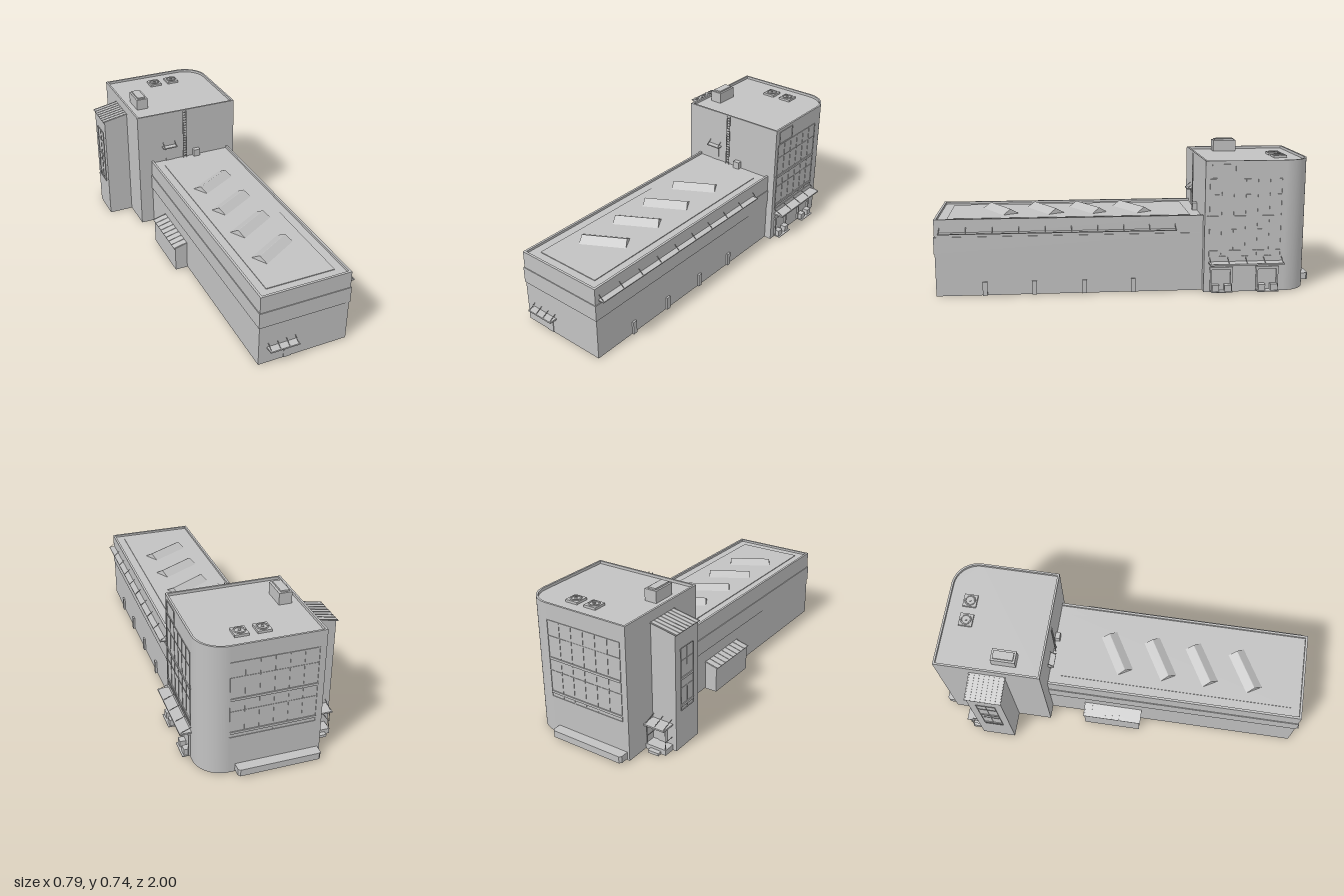
import * as THREE from 'three';

const grey = new THREE.MeshStandardMaterial({ color: 0xc2c2c2, side: THREE.DoubleSide });
grey.name = 'concrete grey';

function add(parent, name, geometry, x = 0, y = 0, z = 0) {
  const mesh = new THREE.Mesh(geometry, grey);
  mesh.name = name;
  mesh.position.set(x, y, z);
  parent.add(mesh);
  return mesh;
}

// Box given by its limits
function block(parent, name, x0, x1, y0, y1, z0, z1) {
  return add(parent, name, new THREE.BoxGeometry(x1 - x0, y1 - y0, z1 - z0),
    (x0 + x1) / 2, (y0 + y1) / 2, (z0 + z1) / 2);
}

// Thin rod between two points
function rod(parent, name, a, b, r = 0.0015) {
  const p = new THREE.Vector3(...a), q = new THREE.Vector3(...b);
  const mesh = add(parent, name, new THREE.CylinderGeometry(r, r, p.distanceTo(q), 5));
  mesh.position.copy(p).lerp(q, 0.5);
  mesh.quaternion.setFromUnitVectors(new THREE.Vector3(0, 1, 0), q.sub(p).normalize());
}

function group(parent, name, x, y, z, turn = 0) {
  const g = new THREE.Group();
  g.name = name;
  g.position.set(x, y, z);
  g.rotation.y = turn;
  parent.add(g);
  return g;
}

// Plan outline, with the back corner on the model's left rounded if r > 0
function plan(x0, x1, z0, z1, r = 0) {
  const s = new THREE.Shape();
  s.moveTo(x0, -z1);
  s.lineTo(x1, -z1);
  if (r) {
    s.lineTo(x1, -z0 - r);
    s.absarc(x1 - r, -z0 - r, r, 0, Math.PI / 2, false);
  } else s.lineTo(x1, -z0);
  s.lineTo(x0, -z0);
  return s;
}

// Open walls standing on a plan outline
function walls(parent, name, shape, y0, y1) {
  const pts = shape.getPoints(20), pos = [];
  pts.forEach((a, i) => {
    const b = pts[(i + 1) % pts.length];
    pos.push(a.x, y0, -a.y, b.x, y0, -b.y, b.x, y1, -b.y,
      a.x, y0, -a.y, b.x, y1, -b.y, a.x, y1, -a.y);
  });
  const g = new THREE.BufferGeometry();
  g.setAttribute('position', new THREE.Float32BufferAttribute(pos, 3));
  g.computeVertexNormals();
  add(parent, name, g);
}

// Flat slab on a plan outline, with an optional hole
function slab(parent, name, shape, y, height, hole) {
  if (hole) shape.holes.push(hole);
  const g = height
    ? new THREE.ExtrudeGeometry(shape, { depth: height, bevelEnabled: false, curveSegments: 20 })
    : new THREE.ShapeGeometry(shape, 20);
  add(parent, name, g.rotateX(-Math.PI / 2), 0, y, 0);
}

// Canopy on a wall that faces local +z, hung on slanting rods
function canopy(parent, name, x, y, z, turn, width, depth, rods, thick = 0.008) {
  const g = group(parent, name, x, y, z, turn);
  block(g, 'canopyPlate', -width / 2, width / 2, 0, thick, 0, depth);
  for (let i = 0; i < rods; i++) {
    const px = (i / (rods - 1) - 0.5) * (width - 0.012);
    rod(g, 'canopyRod', [px, 0.03, 0], [px, thick, depth * 0.9]);
  }
}

// Lean-to with an open underside; the ribbed roof rises toward +x
function leanTo(parent, name, x0, x1, z0, z1, low, high, ribs) {
  const g = group(parent, name, 0, 0, 0);
  const box = new THREE.BoxGeometry(x1 - x0, high, z1 - z0);
  box.translate((x0 + x1) / 2, high / 2, (z0 + z1) / 2);
  const p = box.attributes.position;
  for (let i = 0; i < p.count; i++)
    if (p.getY(i) > 0.01 && p.getX(i) < (x0 + x1) / 2) p.setY(i, low);
  box.setIndex([...box.index.array].filter((v, i) => i < 18 || i > 23));
  const flat = box.toNonIndexed();
  flat.computeVertexNormals();
  add(g, 'leanToWalls', flat);
  const slope = Math.atan2(high - low, x1 - x0), len = (x1 - x0) / Math.cos(slope) + 0.008;
  const roof = group(g, 'leanToRoof', (x0 + x1) / 2 - 0.004, (low + high) / 2 + 0.002, (z0 + z1) / 2);
  roof.rotation.z = slope;
  add(roof, 'roofSheet', new THREE.BoxGeometry(len, 0.004, z1 - z0 + 0.01));
  for (let i = 0; i < ribs; i++)
    add(roof, 'roofRib', new THREE.BoxGeometry(len, 0.003, 0.003), 0, 0.003,
      (i / (ribs - 1) - 0.5) * (z1 - z0));
}

// Window wall in two tiers, on a wall that faces local +z
function windowWall(parent, x, y, z, turn, w, h, columns, ledge) {
  const g = group(parent, 'windowWall', x, y, z, turn);
  const t = 0.003;
  for (const s of [-1, 1]) {
    block(g, 'frameSide', s * w / 2 - t / 2, s * w / 2 + t / 2, -h / 2, h / 2, 0, t);
    block(g, 'frameEdge', -w / 2, w / 2, s * h / 2 - t / 2, s * h / 2 + t / 2, 0, t);
  }
  for (let i = 1; i < columns; i++) {
    const cx = (i / columns - 0.5) * w;
    block(g, 'mullion', cx - 0.001, cx + 0.001, -h / 2, h / 2, 0, 0.002);
  }
  if (ledge) for (const ly of [-h / 2 + 0.02, 0]) {
    block(g, 'ledge', -w / 2, w / 2, ly, ly + 0.012, 0, 0.005);
    block(g, 'transom', -w / 2, w / 2, ly + h * 0.3, ly + h * 0.3 + 0.002, 0, 0.002);
  }
}

export function createModel() {
  const model = new THREE.Group();
  model.name = 'factory';
  const right = Math.PI / 2;

  // Long hall, with a slightly proud band around its middle
  const hall = group(model, 'hall', 0, 0, 0);
  const hallPlan = (o = 0) => plan(-0.178 - o, 0.298 + o, -0.399, 0.96 + o);
  walls(hall, 'hallLowerWall', hallPlan(), 0.004, 0.225);
  walls(hall, 'hallBand', hallPlan(0.004), 0.225, 0.31);
  slab(hall, 'bandTop', hallPlan(0.004), 0.31, 0, hallPlan(-0.002));
  slab(hall, 'bandUnderside', hallPlan(0.004), 0.225, 0, hallPlan(-0.002));
  walls(hall, 'hallUpperWall', hallPlan(), 0.31, 0.4);
  slab(hall, 'hallRoof', hallPlan(), 0.388, 0);
  slab(hall, 'hallParapet', hallPlan(), 0.388, 0.012, hallPlan(-0.012));
  slab(hall, 'roofPanel', plan(-0.12, 0.24, -0.34, 0.9), 0.388, 0.004);

  // Slanted gabled skylights
  for (const z of [-0.055, 0.18, 0.405, 0.64]) {
    const light = group(hall, 'skylight', 0.05, 0.39, z, Math.PI / 6);
    const geo = new THREE.BoxGeometry(0.233, 0.028, 0.096).toNonIndexed();
    const p = geo.attributes.position;
    for (let i = 0; i < p.count; i++) if (p.getY(i) > 0) {
      p.setX(i, p.getX(i) * 0.97);
      p.setZ(i, p.getZ(i) * 0.03);
    }
    geo.computeVertexNormals();
    add(light, 'skylightGable', geo, 0, 0.014, 0);
  }

  // Awning and doors along the hall's left side
  canopy(hall, 'sideAwning', 0.298, 0.328, 0.34, right, 1.2, 0.032, 10, 0.005);
  for (const z of [0.715, 0.465, 0.21, -0.04])
    block(hall, 'sideDoor', 0.298, 0.308, 0.004, 0.075, z - 0.012, z + 0.012);

  // Front door
  block(hall, 'frontDoor', -0.045, -0.004, 0.004, 0.085, 0.96, 0.963);
  canopy(hall, 'frontCanopy', -0.057, 0.09, 0.96, 0, 0.155, 0.04, 4);

  leanTo(hall, 'sideShed', -0.245, -0.178, -0.2, 0.11, 0.138, 0.155, 9);

  // Tower with one rounded corner
  const tower = group(model, 'tower', 0, 0, 0);
  const towerPlan = (i = 0) => plan(-0.252 + i, 0.336 - i, -0.948 + i, -0.4 - i, 0.135 - i);
  walls(tower, 'towerWall', towerPlan(), 0.002, 0.684);
  slab(tower, 'towerRoof', towerPlan(), 0.67, 0);
  slab(tower, 'towerParapet', towerPlan(), 0.67, 0.014, towerPlan(0.01));
  block(tower, 'floorLine', 0.336, 0.338, 0.399, 0.402, -0.81, -0.4);

  // Roof housing and fans
  block(tower, 'roofHousing', -0.205, -0.14, 0.67, 0.73, -0.655, -0.53);
  block(tower, 'housingCap', -0.195, -0.152, 0.73, 0.738, -0.645, -0.54);
  for (const x of [0.012, 0.12]) {
    block(tower, 'fanBase', x - 0.034, x + 0.034, 0.67, 0.682, -0.866, -0.796);
    add(tower, 'fanRing', new THREE.TorusGeometry(0.025, 0.004, 6, 20).rotateX(right), x, 0.684, -0.831);
    add(tower, 'fanHub', new THREE.CylinderGeometry(0.007, 0.007, 0.006, 12), x, 0.685, -0.831);
  }

  // Roof door, ladder and cabinet above the hall
  block(tower, 'roofDoor', -0.09, -0.046, 0.388, 0.465, -0.4, -0.396);
  canopy(tower, 'roofDoorCanopy', -0.07, 0.474, -0.4, 0, 0.082, 0.03, 2, 0.006);
  for (const x of [0.014, 0.034])
    block(tower, 'ladderRail', x - 0.0015, x + 0.0015, 0.388, 0.684, -0.39, -0.387);
  for (let i = 0; i < 18; i++)
    block(tower, 'ladderRung', 0.014, 0.034, 0.4 + i * 0.016, 0.402 + i * 0.016, -0.39, -0.387);
  block(tower, 'roofCabinet', 0.075, 0.112, 0.388, 0.428, -0.4, -0.375);

  // Window walls on the left side and the back
  windowWall(tower, 0.336, 0.39, -0.61, right, 0.37, 0.4, 6, true);
  windowWall(tower, -0.01, 0.4, -0.948, Math.PI, 0.42, 0.4, 6, true);
  windowWall(tower, 0.336, 0.63, -0.495, right, 0.12, 0.07, 1, false);

  // Loading doors with steps under a canopy
  canopy(tower, 'loadingCanopy', 0.336, 0.155, -0.615, right, 0.385, 0.057, 5);
  for (const z of [-0.49, -0.73]) {
    const dock = group(tower, 'loadingDock', 0, 0, z);
    block(dock, 'doorHead', 0.336, 0.345, 0.122, 0.135, -0.06, 0.06);
    for (const s of [-1, 1]) {
      block(dock, 'doorPost', 0.336, 0.345, 0.01, 0.122, s * 0.053 - 0.005, s * 0.053 + 0.005);
      block(dock, 'dockBlock', 0.336, 0.366, 0.01, 0.045, s * 0.032 - 0.018, s * 0.032 + 0.018);
    }
    block(dock, 'dockPlate', 0.336, 0.375, 0.008, 0.012, -0.055, 0.055);
  }

  // Back platform with clipped corners
  const platform = new THREE.Shape([[-0.24, 0.945], [0.172, 0.945], [0.172, 0.99], [0.162, 1],
    [-0.23, 1], [-0.24, 0.99]].map(([x, y]) => new THREE.Vector2(x, y)));
  slab(tower, 'backPlatform', platform, 0.01, 0.035);

  // Stair annex with its porch
  leanTo(model, 'annex', -0.385, -0.252, -0.765, -0.585, 0.603, 0.628, 8);
  windowWall(model, -0.385, 0.36, -0.675, -right, 0.1, 0.32, 2, true);
  const porch = group(model, 'porch', -0.31, 0, -0.765, Math.PI);
  block(porch, 'porchDoor', -0.025, 0.025, 0.03, 0.12, 0, 0.004);
  block(porch, 'porchFloor', -0.056, 0.056, 0.002, 0.03, 0, 0.06);
  block(porch, 'porchStep', -0.03, 0.03, 0.002, 0.016, 0.06, 0.083);
  canopy(porch, 'porchCanopy', 0, 0.135, 0, 0, 0.114, 0.075, 3);
  for (const s of [-1, 1]) {
    rod(porch, 'porchPost', [s * 0.052, 0.03, 0.056], [s * 0.052, 0.135, 0.056], 0.002);
    rod(porch, 'porchRail', [s * 0.052, 0.07, 0], [s * 0.052, 0.07, 0.056]);
  }
  return model;
}
